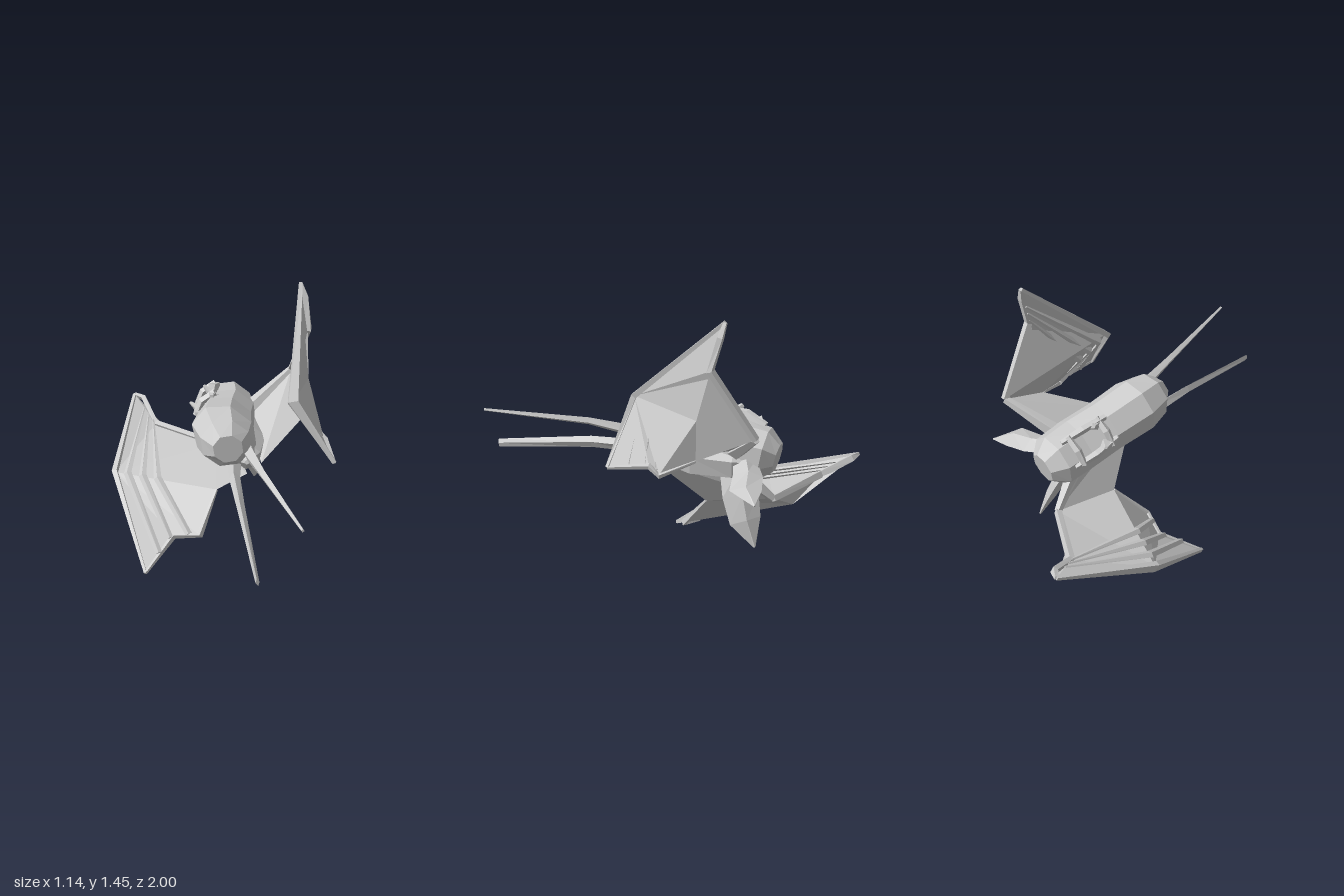
import * as THREE from 'three';

const V = (p) => new THREE.Vector3(...p);
const grey = () => new THREE.MeshStandardMaterial({ color: 0xcccccc, flatShading: true, side: THREE.DoubleSide });

function meshFrom(name, positions) {
  const g = new THREE.BufferGeometry();
  g.setAttribute('position', new THREE.Float32BufferAttribute(positions, 3));
  g.computeVertexNormals();
  const m = new THREE.Mesh(g, grey());
  m.name = name;
  return m;
}

// Faceted tube along a path; each size is [half width along wide, half thickness]
function sweep(name, path, sizes, wide, sides = 4, turn = 0) {
  const pts = path.map(V), out = [];
  const put = (...vs) => vs.forEach((v) => out.push(v.x, v.y, v.z));
  const rings = pts.map((p, i) => {
    const t = pts[Math.min(i + 1, pts.length - 1)].clone().sub(pts[Math.max(i - 1, 0)]).normalize();
    const w = V(wide).addScaledVector(t, -V(wide).dot(t)).normalize();
    const n = t.clone().cross(w);
    return Array.from({ length: sides }, (_, j) => {
      const a = ((j + turn) / sides) * Math.PI * 2;
      return p.clone().addScaledVector(w, Math.cos(a) * sizes[i][0]).addScaledVector(n, Math.sin(a) * sizes[i][1]);
    });
  });
  const last = rings.length - 1;
  for (let j = 0; j < sides; j++) {
    const k = (j + 1) % sides;
    for (let i = 0; i < last; i++) {
      const a = rings[i], b = rings[i + 1];
      put(a[j], a[k], b[k], a[j], b[k], b[j]);
    }
    put(pts[0], rings[0][k], rings[0][j], pts[last], rings[last][j], rings[last][k]);
  }
  return meshFrom(name, out);
}

// Wing: inner membrane with pleats, bulged outer skin, thick rims and an arm
function wing(name, p, lift) {
  const group = new THREE.Group();
  group.name = name;
  const skin = (part, faces) => group.add(meshFrom(name + part, faces.flatMap((f) => f.split(' ').flatMap((k) => p[k]))));
  skin('Membrane', ['tip knee wrist', 'knee corner notch', 'knee notch heel', 'knee heel fold',
    'knee fold elbow', 'knee elbow wrist', 'elbow fold rear', 'elbow rear shoulder']);
  skin('OuterSkin', ['tip knee bulge', 'knee corner notch', 'knee notch heel', 'knee heel bulge',
    'heel fold bulge', 'fold elbow bulge', 'elbow wrist bulge', 'wrist tip bulge']);

  const mix = (a, b, t) => V(a).lerp(V(b), t).addScaledVector(V(lift), 0.014).toArray();
  group.add(sweep(name + 'LeadingEdge', [p.tip, p.knee, p.corner],
    [[0.012, 0.012], [0.035, 0.02], [0.015, 0.01]], lift, 4, 0.5));
  group.add(sweep(name + 'TrailingRim', [p.corner, p.notch, p.heel, p.fold],
    [[0.01, 0.008], [0.022, 0.014], [0.022, 0.014], [0.008, 0.008]], lift, 4, 0.5));
  group.add(sweep(name + 'WristEdge', [p.tip, p.tipBack, p.wrist, p.elbow],
    [[0.012, 0.012], [0.024, 0.018], [0.026, 0.02], [0.022, 0.02]], lift, 4, 0.5));
  group.add(sweep(name + 'Arm', [p.elbow, p.shoulder],
    [[0.02, 0.02], [0.05, 0.045]], lift, 5));
  // Pleats run from the wrist edge, bend beside the knee and end on the trailing rim
  const ends = [mix(p.corner, p.notch, 0.5), mix(p.notch, p.corner, 0.1), mix(p.notch, p.heel, 0.6)];
  ends.forEach((end, i) => {
    const path = [mix(p.tip, p.wrist, 0.5 + i * 0.2), mix(p.knee, p.fold, 0.13 + i * 0.15), end];
    group.add(sweep(name + 'Pleat', path, [[0.005, 0.006], [0.012, 0.022], [0.012, 0.018]], lift, 4));
  });
  return group;
}

export function createModel() {
  const root = new THREE.Group();
  root.name = 'flyingCreature';

  // Body axes in its banked pose
  const along = [-0.55, 0.21, 0.8], belly = [0.57, -0.6, 0.55], across = [0.6, 0.77, 0.21];
  const at = (s, b = 0, n = 0) => V([-0.02, 0.74, -0.11]).addScaledVector(V(along), s)
    .addScaledVector(V(belly), b).addScaledVector(V(across), n).toArray();

  // Stations: distance along the body, shift to the belly, half depth, half width
  const stations = [[-0.39, 0, 0.08, 0.08], [-0.32, 0, 0.14, 0.14], [-0.17, 0.015, 0.155, 0.145], [0, 0, 0.16, 0.14],
    [0.2, -0.01, 0.175, 0.148], [0.31, 0.005, 0.135, 0.125], [0.37, 0.02, 0.08, 0.075]];
  root.add(sweep('body', stations.map((s) => at(s[0], s[1])), stations.map((s) => [s[2], s[3]]), belly, 8, 0.5));

  // Underside that carries the limbs
  root.add(sweep('underbody', [[0.2, 0.64, -0.3], [0.16, 0.64, -0.2], [0.06, 0.65, -0.02], [-0.05, 0.67, 0.13], [-0.11, 0.7, 0.21]],
    [[0.05, 0.05], [0.09, 0.09], [0.1, 0.09], [0.07, 0.07], [0.012, 0.012]], belly, 6));

  // Raised frame around the face, with a peak on each side
  for (const side of [-1, 1]) {
    root.add(sweep('faceRail', [at(-0.28, -0.12, side * 0.07), at(-0.16, -0.15, side * 0.07), at(-0.02, -0.145, side * 0.06)],
      [[0.02, 0.015], [0.03, 0.02], [0.015, 0.015]], belly, 4));
    root.add(sweep('facePeak', [at(-0.08, -0.12, side * 0.05), at(-0.12, -0.2, side * 0.06)],
      [[0.04, 0.03], [0.012, 0.008]], along, 4));
  }
  for (const s of [-0.24, -0.06]) {
    root.add(sweep('faceCrossbar', [at(s, -0.14, -0.08), at(s, -0.165, 0), at(s, -0.14, 0.08)],
      [[0.02, 0.015], [0.02, 0.02], [0.02, 0.015]], belly, 4));
  }

  root.add(wing('leftWing', {
    tip: [0.41, 1.44, -0.07], tipBack: [0.42, 1.37, -0.045], knee: [0.1, 1.02, 0.3], corner: [0.24, 0.71, 0.47],
    notch: [0.32, 0.73, 0.28], heel: [0.355, 0.69, 0.24], fold: [0.37, 0.75, 0.06],
    wrist: [0.41, 1.21, 0], elbow: [0.47, 0.87, -0.21], bulge: [0.38, 0.96, 0.06],
    shoulder: [0.17, 0.7, -0.2], rear: [0.0, 0.64, 0.18],
  }, [-0.75, 0.25, -0.62]));
  root.add(wing('rightWing', {
    tip: [-0.08, 0.525, -0.99], tipBack: [-0.05, 0.515, -0.94], knee: [-0.44, 0.33, -0.59], corner: [-0.56, 0.01, -0.08],
    notch: [-0.34, 0.12, -0.15], heel: [-0.24, 0.15, -0.04], fold: [-0.08, 0.34, -0.12],
    wrist: [-0.07, 0.43, -0.77], elbow: [0.12, 0.4, -0.43], bulge: [0.02, 0.31, -0.58],
    shoulder: [0.08, 0.59, -0.22], rear: [-0.08, 0.6, 0.17],
  }, [-0.35, 0.9, 0.1]));

  // Long trailing streamers
  root.add(sweep('leftStreamer', [[0.03, 0.7, 0], [-0.1, 0.75, 0.22], [-0.2, 0.805, 0.48], [-0.36, 0.86, 1]],
    [[0.06, 0.04], [0.038, 0.028], [0.022, 0.018], [0.008, 0.008]], [0.3, 1, 0], 4));
  root.add(sweep('rightStreamer', [[-0.04, 0.63, 0], [-0.19, 0.645, 0.22], [-0.31, 0.65, 0.45], [-0.54, 0.605, 0.92]],
    [[0.05, 0.04], [0.035, 0.028], [0.03, 0.02], [0.022, 0.009]], [-0.2, 1, 0], 4));

  // Blade-like legs
  root.add(sweep('leftLeg', [[0.18, 0.66, -0.25], [0.33, 0.63, -0.22], [0.45, 0.605, -0.17], [0.565, 0.57, -0.18]],
    [[0.06, 0.035], [0.075, 0.03], [0.08, 0.022], [0.006, 0.005]], [0, 0, 1], 4));
  root.add(sweep('rightLeg', [[0.11, 0.58, -0.23], [0.17, 0.46, -0.235], [0.225, 0.34, -0.245], [0.28, 0.21, -0.28]],
    [[0.09, 0.045], [0.098, 0.035], [0.085, 0.028], [0.006, 0.005]], [0, 0, 1], 4));

  return root;
}
